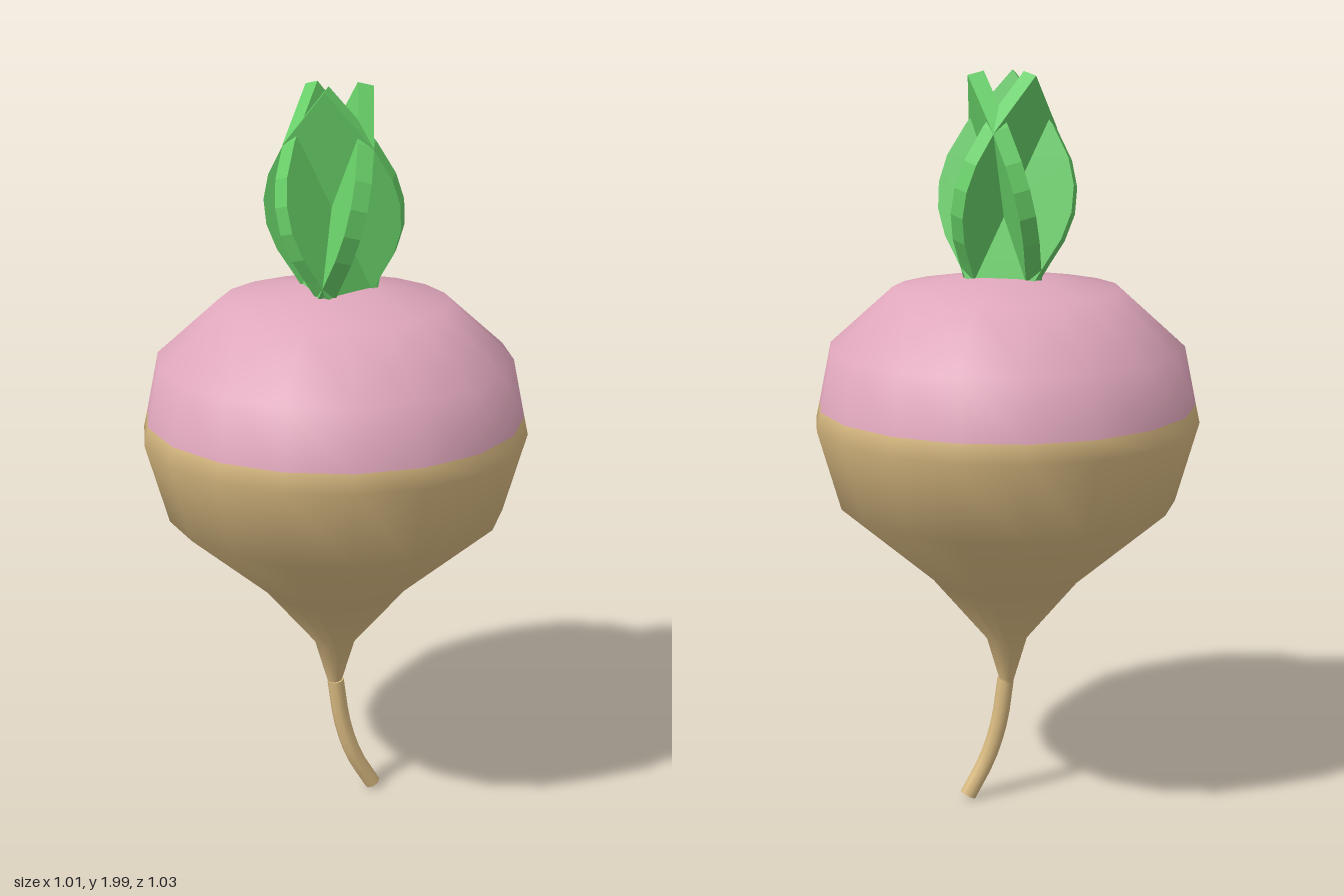
import * as THREE from 'three';

const material = (name, color) => {
  const m = new THREE.MeshStandardMaterial({ color });
  m.name = name;
  return m;
};

export function createModel() {
  const tan = material('tanSkin', 0xdabb82);
  const pink = material('pinkSkin', 0xe0a7bc);
  const green = material('leafGreen', 0x68d068);
  const model = new THREE.Group();
  model.name = 'turnip';

  const add = (parent, name, geometry, mat) => {
    const mesh = new THREE.Mesh(geometry, mat);
    mesh.name = name;
    parent.add(mesh);
    return mesh;
  };

  // Bulb: one smooth lathe, tan below the colour line and pink above it
  const profile = [
    [0.018, 0.345], [0.056, 0.475], [0.205, 0.655], [0.452, 0.87], [0.513, 1.085],
    [0.502, 1.135], [0.47, 1.29], [0.302, 1.44], [0.09, 1.474], [0, 1.476],
  ].map(([r, y]) => new THREE.Vector2(r, y));
  const sides = 18, rows = profile.length - 1, tanRows = 5;
  const bulb = new THREE.LatheGeometry(profile, sides);
  for (let i = 0; i < sides; i++) {
    const start = i * rows * 6;
    bulb.addGroup(start, tanRows * 6, 0);
    bulb.addGroup(start + tanRows * 6, (rows - tanRows) * 6, 1);
  }
  add(model, 'bulb', bulb, [tan, pink]);

  // Root tail: a bent tube with closed ends
  const root = new THREE.Group();
  root.name = 'root';
  model.add(root);
  const path = new THREE.CatmullRomCurve3([
    [0, 0.352, 0.004], [0.014, 0.225, 0.016], [0.04, 0.12, 0.036], [0.092, 0.018, 0.061],
  ].map((p) => new THREE.Vector3(...p)));
  const radius = 0.023;
  add(root, 'rootTail', new THREE.TubeGeometry(path, 8, radius, 8, false), tan);
  for (const t of [0, 1]) {
    const cap = add(root, t ? 'rootTip' : 'rootTop', new THREE.CircleGeometry(radius, 8), tan);
    cap.position.copy(path.getPointAt(t));
    const outward = path.getTangentAt(t).multiplyScalar(t ? 1 : -1);
    cap.quaternion.setFromUnitVectors(new THREE.Vector3(0, 0, 1), outward);
  }

  // Leaves: three flat slabs leaning across the centre, interlocking
  const half = [
    [0.07, -0.24], [0.12, -0.15], [0.155, -0.09], [0.178, -0.02],
    [0.18, 0.05], [0.162, 0.12], [0.115, 0.205],
  ];
  const outline = [
    ...half, [0, 0.345],
    ...half.map(([x, y]) => [-x, y]).reverse(),
  ].map(([x, y]) => new THREE.Vector2(x, y));
  const thickness = 0.044;
  const leaf = new THREE.ExtrudeGeometry(new THREE.Shape(outline), { depth: thickness, bevelEnabled: false });
  leaf.translate(0, 0, -thickness / 2);
  leaf.rotateX(-0.24);
  leaf.translate(0, 1.66, 0);
  for (let i = 0; i < 3; i++) {
    add(model, 'leaf' + (i + 1), leaf, green).rotation.y = (i * Math.PI * 2) / 3;
  }

  return model;
}
